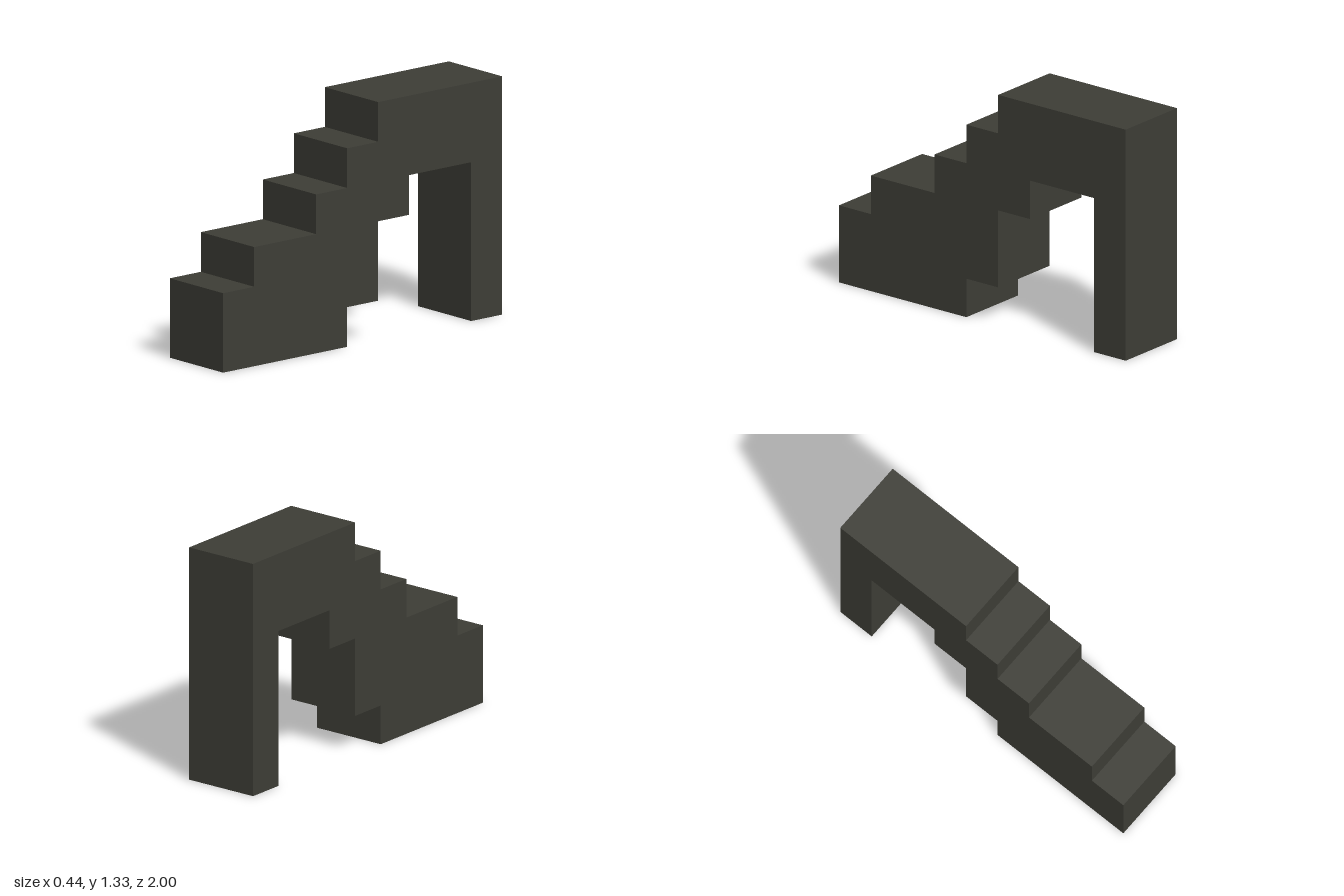
import * as THREE from 'three';

const U = 2 / 9; // one step of the block grid
const WIDTH = 2 * U;

export function createModel() {
  const group = new THREE.Group();
  group.name = 'steppedArch';

  const darkStone = new THREE.MeshStandardMaterial({ color: 0x3d3d36 });
  darkStone.name = 'darkStone';

  // Side outline as [z, y] in grid steps
  const outline = [
    // stairs up from the front
    [4.5, 0], [4.5, 2], [3.5, 2], [3.5, 3], [1.5, 3], [1.5, 4],
    [0.5, 4], [0.5, 5], [-0.5, 5], [-0.5, 6],
    // top landing and rear pillar
    [-4.5, 6], [-4.5, 0], [-3.5, 0], [-3.5, 4],
    // stepped underside back to the foot
    [-1.5, 4], [-1.5, 3], [-0.5, 3], [-0.5, 1], [0.5, 1], [0.5, 0],
  ];
  const shape = new THREE.Shape(outline.map(([z, y]) => new THREE.Vector2(z * U, y * U)));

  // Extrude across the width, then turn the outline to run along z
  const geometry = new THREE.ExtrudeGeometry(shape, { depth: WIDTH, bevelEnabled: false });
  geometry.translate(0, 0, -WIDTH / 2);
  geometry.rotateY(-Math.PI / 2);

  const staircase = new THREE.Mesh(geometry, darkStone);
  staircase.name = 'staircase';
  group.add(staircase);
  return group;
}
